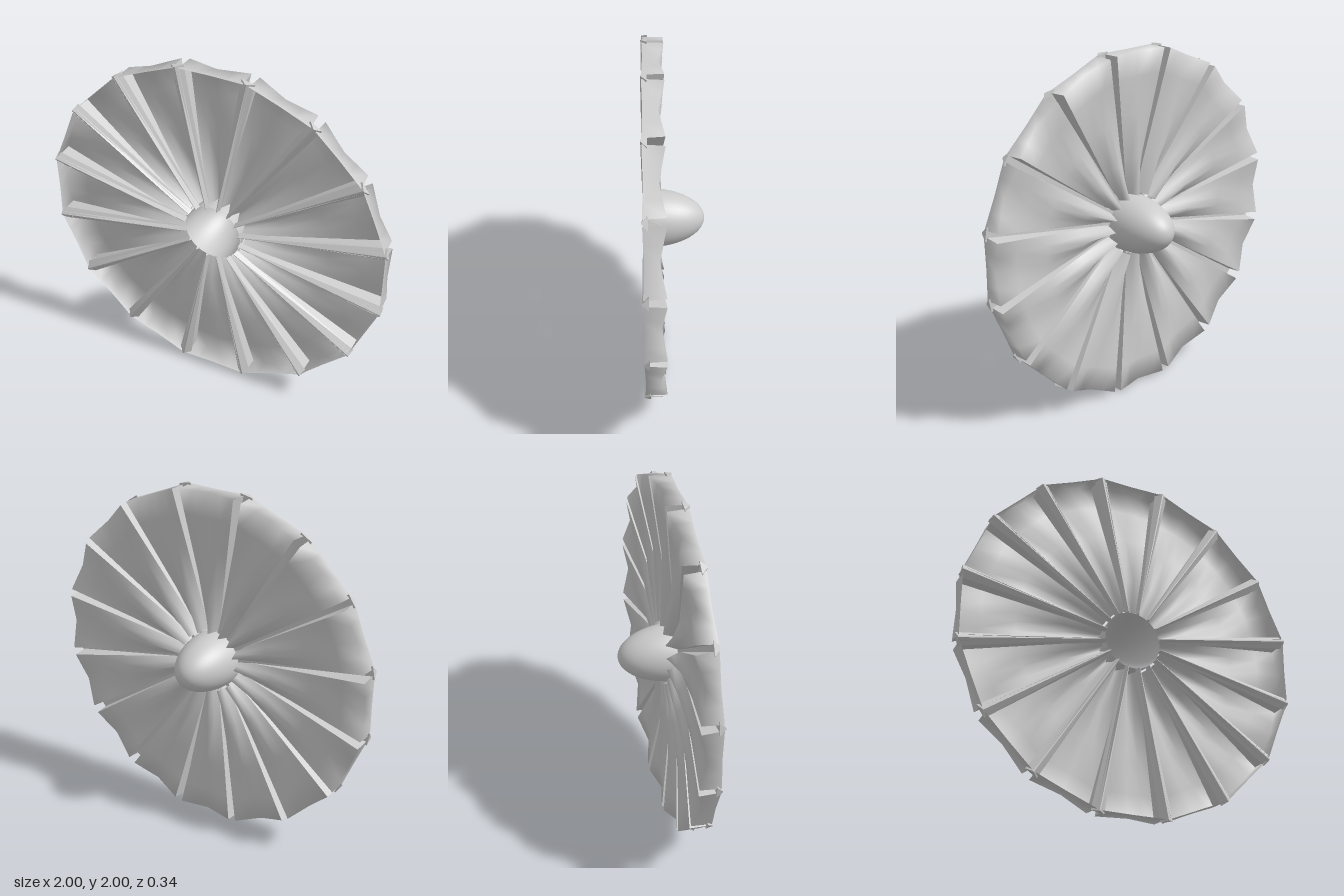
import * as THREE from 'three';

const COUNT = 16;
const STEP = (Math.PI * 2) / COUNT;
const TAN = Math.tan(STEP / 2), COS = Math.cos(STEP / 2);
const INNER = 0.177, OUTER = 0.987, RIB_END = 1.012;
const { lerp } = THREE.MathUtils;

const material = new THREE.MeshStandardMaterial({ color: 0xcccccc, side: THREE.DoubleSide });

// Surface through rows of points, all rows the same length
function loft(rows) {
  const n = rows[0].length, index = [];
  for (let i = 0; i < rows.length - 1; i++)
    for (let j = 0; j < n - 1; j++) {
      const a = i * n + j, b = a + 1, c = a + n, d = c + 1;
      index.push(a, b, c, b, d, c);
    }
  const g = new THREE.BufferGeometry();
  g.setAttribute('position', new THREE.Float32BufferAttribute(rows.flat(2), 3));
  g.setIndex(index);
  g.computeVertexNormals();
  return g;
}

function mesh(name, geometry) {
  const m = new THREE.Mesh(geometry, material);
  m.name = name;
  return m;
}

// Panel side and depth at distance t from the axis: a V valley at the hub, a slight ridge at the rim
const along = (t) => (t - INNER) / (OUTER - INNER);
const floorX = (t) => t * TAN - lerp(0.006, 0.024, along(t)) / COS;
const crestX = (t) => t * TAN - lerp(0.005, 0.016, along(t)) / COS;
const sideZ = (t) => lerp(0.145, 0.05, along(t));
const middleZ = (t) => lerp(0.07, 0.085, along(t));

// Folded floor that turns forward into the rim wall
function panelGeometry() {
  const spread = [-1, -0.5, 0, 0.5, 1];
  const rows = [INNER, 0.4, 0.66, 0.85, OUTER].map((t) =>
    spread.map((s) => [s * floorX(t), t, lerp(middleZ(t), sideZ(t), Math.abs(s))]));
  rows.push(spread.map((s) => [s * crestX(OUTER), OUTER, lerp(0.16, 0.165, Math.abs(s))]));
  return loft(rows);
}

// Wedge-shaped wall between the floor and the rib
function wallGeometry(side) {
  return loft([INNER, OUTER].map((t) => [
    [side * floorX(t), t, sideZ(t)],
    [side * crestX(t), t, 0.16],
  ]));
}

// Tapered rib with two sloping faces meeting in a narrow crest
function ribGeometry() {
  const start = 0.165, length = RIB_END - start;
  const section = new THREE.Shape([[-1, -0.138], [-0.1, -0.17], [0.1, -0.17], [1, -0.138]]
    .map(([x, y]) => new THREE.Vector2(x, y)));
  const g = new THREE.ExtrudeGeometry(section, { depth: length, bevelEnabled: false });
  g.rotateX(-Math.PI / 2);
  g.translate(0, start, 0);
  const p = g.attributes.position;
  for (let i = 0; i < p.count; i++) {
    const k = (p.getY(i) - start) / length;
    p.setX(i, p.getX(i) * lerp(0.011, 0.038, k));
  }
  g.computeVertexNormals();
  return g;
}

export function createModel() {
  const model = new THREE.Group();
  model.name = 'foldedWheel';
  const wheel = new THREE.Group();
  wheel.name = 'wheel';
  wheel.position.y = 1;
  model.add(wheel);

  const panel = panelGeometry(), rib = ribGeometry();
  const walls = [wallGeometry(-1), wallGeometry(1)];
  for (let i = 0; i < COUNT; i++) {
    const sector = new THREE.Group();
    sector.name = 'sector';
    sector.rotation.z = i * STEP;
    sector.add(mesh('panel', panel), mesh('rightWall', walls[0]), mesh('leftWall', walls[1]));
    const bar = mesh('rib', rib);
    bar.rotation.z = STEP / 2;
    sector.add(bar);
    wheel.add(sector);
  }

  // Hollow hub dome pointing backwards, open at the front
  const profile = [];
  for (let i = 0; i <= 20; i++) {
    const a = (i / 20) * Math.PI / 2;
    profile.push(new THREE.Vector2(0.166 * Math.sin(a), -0.32 * Math.cos(a)));
  }
  const dome = mesh('hubDome', new THREE.LatheGeometry(profile, 48));
  dome.rotation.x = Math.PI / 2;
  dome.position.z = 0.15;
  wheel.add(dome);

  return model;
}
